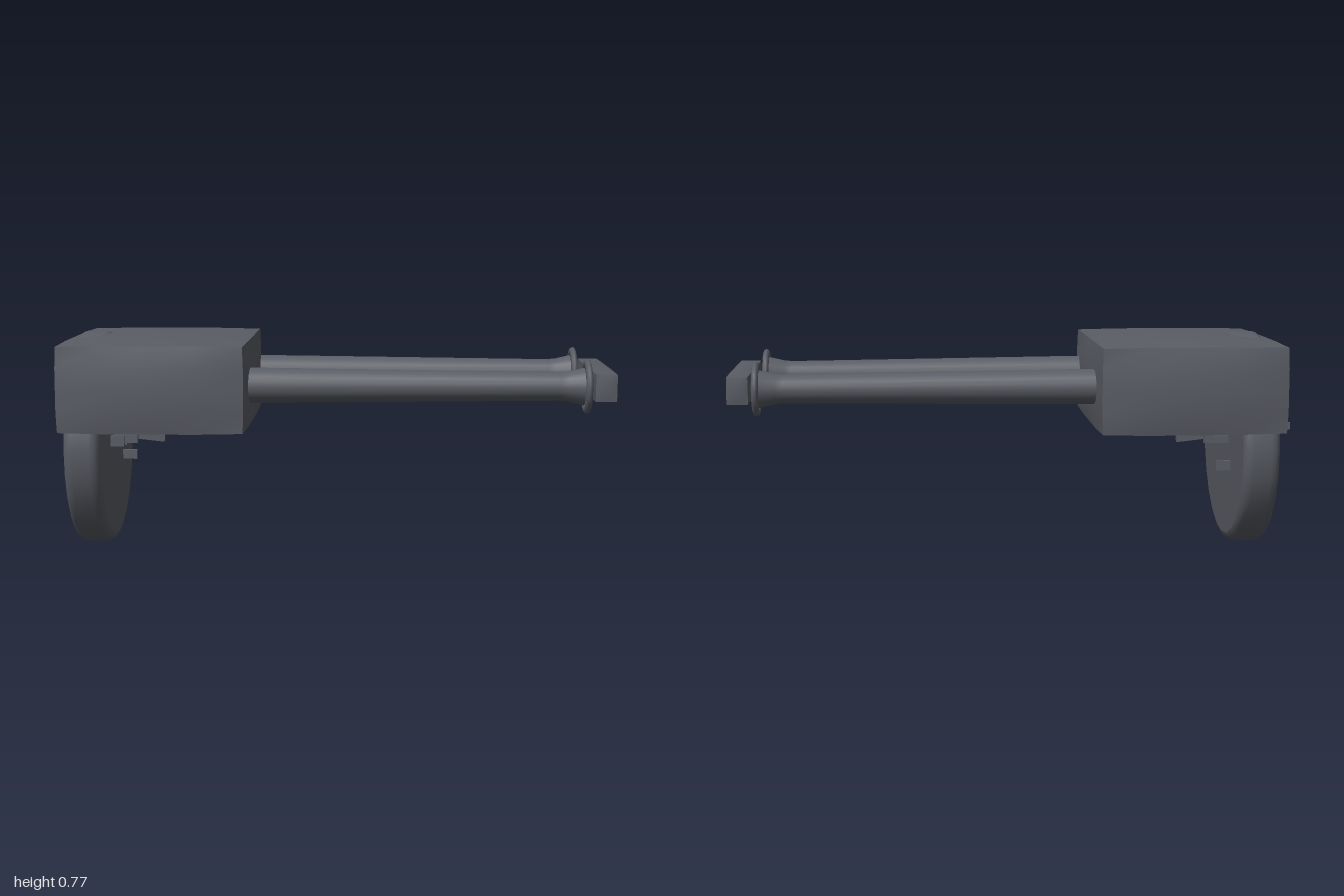
import * as THREE from 'three';

const steel = new THREE.MeshStandardMaterial({ color: 0x5a5d65 });
steel.name = 'dark grey';

function add(parent, name, geometry, x = 0, y = 0, z = 0) {
  const mesh = new THREE.Mesh(geometry, steel);
  mesh.name = name;
  mesh.position.set(x, y, z);
  parent.add(mesh);
  return mesh;
}

// Box whose faces swell outward between their edges
function bulgedBox(w, h, d, bulge) {
  const half = [w / 2, h / 2, d / 2];
  const geo = new THREE.BoxGeometry(w, h, d, 4, 4, 4);
  const pos = geo.attributes.position;
  for (let i = 0; i < pos.count; i++) {
    const p = [pos.getX(i), pos.getY(i), pos.getZ(i)];
    const u = p.map((v, k) => v / half[k]);
    const swell = u.map((v) => (Math.abs(v) > 0.9 ? 0.2 : 1));
    const q = p.map((v, k) =>
      Math.abs(u[k]) > 0.9 ? v + Math.sign(v) * bulge * swell[(k + 1) % 3] * swell[(k + 2) % 3] : v);
    pos.setXYZ(i, ...q);
  }
  geo.computeVertexNormals();
  return geo;
}

// Lathe turned about the x axis; profile points are [radius, x]
function turned(profile, segments) {
  const geo = new THREE.LatheGeometry(profile.map(([r, x]) => new THREE.Vector2(r, x)), segments);
  return geo.rotateZ(-Math.PI / 2);
}

export function createModel() {
  const model = new THREE.Group();
  model.name = 'model';

  // Main housing
  add(model, 'housing', bulgedBox(0.636, 0.295, 0.795, 0.018), -0.61, 0.601, 0);

  // Round drum under the housing: rounded rim and two flat faces
  const drum = new THREE.Group();
  drum.name = 'drum';
  drum.position.set(-0.852, 0.387, 0);
  model.add(drum);
  const rim = [[0.357, -0.064], [0.372, -0.059], [0.382, -0.047], [0.386, -0.03],
    [0.386, 0.03], [0.382, 0.047], [0.372, 0.059], [0.357, 0.064]];
  add(drum, 'drumRim', turned(rim, 24));
  for (const side of [-1, 1]) {
    const face = add(drum, 'drumFace', new THREE.CircleGeometry(0.357, 24), side * 0.064, 0, 0);
    face.rotation.y = side * Math.PI / 2;
  }

  // Pair of tapered tubes with flared ends and collars
  for (const z of [-0.229, 0.229]) {
    const tube = new THREE.Group();
    tube.name = 'tube';
    tube.position.set(0, 0.601, z);
    model.add(tube);
    add(tube, 'tubeShaft', turned([[0.063, -0.32], [0.05, 0.8], [0.053, 0.83], [0.066, 0.885]], 20));
    const cap = add(tube, 'tubeEnd', new THREE.CircleGeometry(0.066, 20), 0.885, 0, 0);
    cap.rotation.y = Math.PI / 2;
    const collar = add(tube, 'collar', new THREE.TorusGeometry(0.081, 0.015, 8, 20), 0.895, 0, 0);
    collar.rotation.y = Math.PI / 2;
    collar.scale.z = 0.8;
  }

  // Cross bar in front of the tubes
  add(model, 'crossBar', bulgedBox(0.072, 0.094, 0.56, 0.004), 0.957, 0.601, 0);

  // Small fittings around the drum: name, size, centre
  const fittings = [
    ['outerKnob', 0.06, 0.055, 0.055, -0.94, 0.388, 0],
    ['outerTab', 0.04, 0.025, 0.012, -0.98, 0.443, -0.146],
    ['outerStud', 0.02, 0.022, 0.025, -0.925, 0.442, 0.1],
    ['innerPegLeft', 0.09, 0.028, 0.028, -0.745, 0.388, 0.08],
    ['innerPegRight', 0.09, 0.028, 0.028, -0.745, 0.388, -0.08],
    ['innerStalk', 0.05, 0.075, 0.009, -0.765, 0.402, 0.074],
    ['innerTab', 0.05, 0.038, 0.018, -0.765, 0.388, 0.14],
    ['lowerTab', 0.055, 0.034, 0.019, -0.763, 0.298, -0.129],
  ];
  for (const [name, w, h, d, x, y, z] of fittings) add(model, name, new THREE.BoxGeometry(w, h, d), x, y, z);

  // Tilted lever, thicker at its free end
  const lever = new THREE.BoxGeometry(0.15, 0.036, 0.015);
  const pos = lever.attributes.position;
  for (let i = 0; i < pos.count; i++) if (pos.getX(i) < 0) pos.setY(i, pos.getY(i) * 0.6);
  lever.computeVertexNormals();
  add(model, 'lever', lever, -0.687, 0.388, 0).rotation.z = -0.06;

  // Upright wedge above the outer knob
  const wedge = new THREE.CylinderGeometry(0.006, 0.022, 0.13, 4).rotateY(Math.PI / 4);
  add(model, 'wedge', wedge, -0.937, 0.5, 0);

  return model;
}
